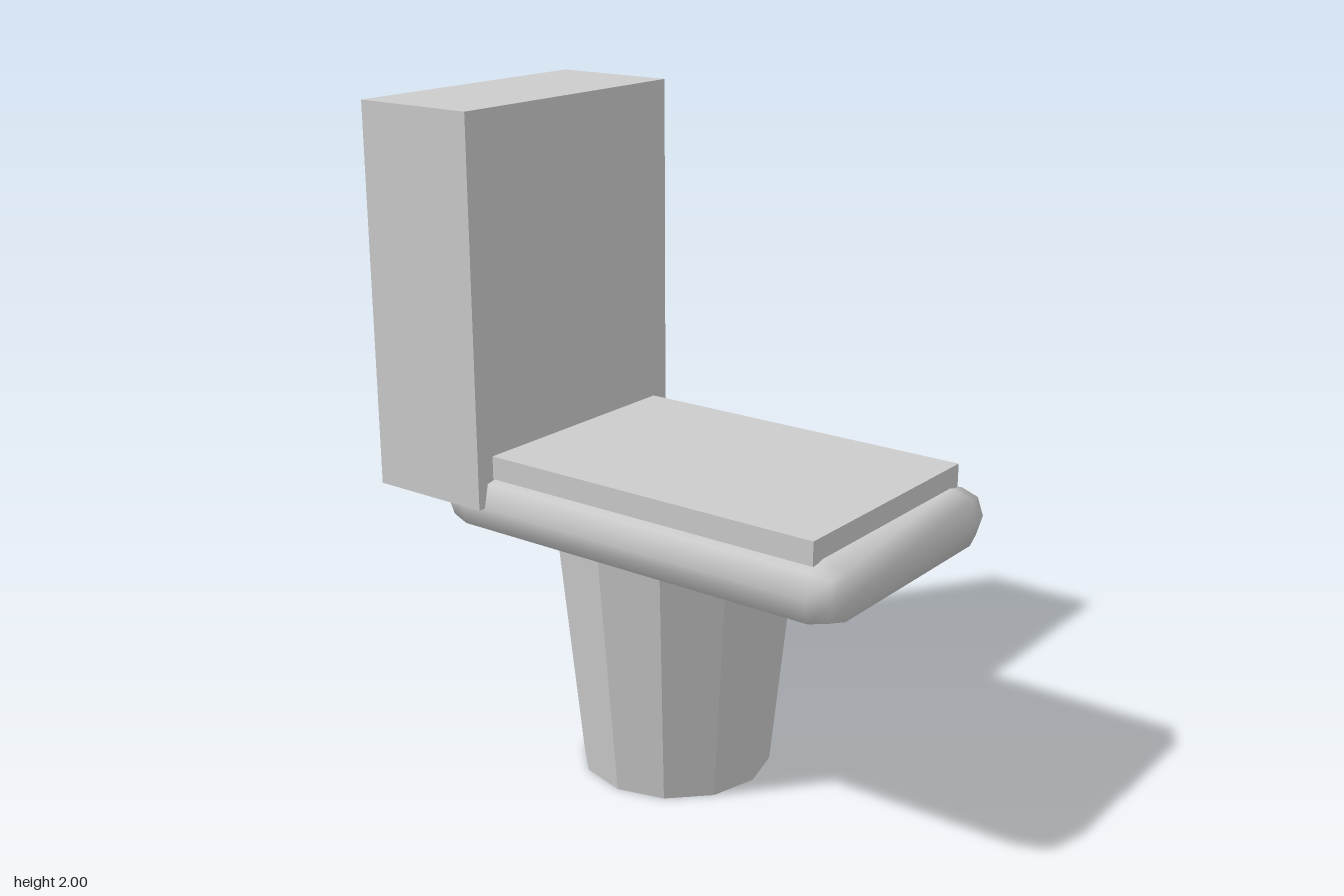
import * as THREE from 'three';
import { mergeVertices } from 'three/addons/utils/BufferGeometryUtils.js';

const solid = new THREE.MeshStandardMaterial({ color: 0xcccccc });
const faceted = new THREE.MeshStandardMaterial({ color: 0xcccccc, flatShading: true, side: THREE.DoubleSide });

function part(group, name, geometry, material, x, y, z) {
  const mesh = new THREE.Mesh(geometry, material);
  mesh.name = name;
  mesh.position.set(x, y, z);
  group.add(mesh);
  return mesh;
}

// Smooth cushion-like slab: a coarse box whose edges and corners are drawn in
function cushion(hx, hy, hz, bevel, inset) {
  const g = new THREE.BoxGeometry(2, 2, 2, 3, 2, 3);
  const p = g.attributes.position;
  const half = [hx, hy, hz];
  for (let i = 0; i < p.count; i++) {
    const v = [p.getX(i), p.getY(i), p.getZ(i)];
    const outer = v.map(c => Math.abs(c) > 0.99);
    const count = outer.filter(Boolean).length;
    const pull = [0, 0, inset, inset * 1.8][count];
    const q = v.map((c, k) => {
      if (Math.abs(c) < 0.01) return 0;
      return Math.sign(c) * (outer[k] ? half[k] - pull : half[k] - bevel);
    });
    p.setXYZ(i, ...q);
  }
  g.deleteAttribute('normal');
  g.deleteAttribute('uv');
  const merged = mergeVertices(g, 1e-4);
  merged.computeVertexNormals();
  return merged;
}

// Box without its underside
function bottomlessBox(w, h, d) {
  const g = new THREE.BoxGeometry(w, h, d);
  const index = Array.from(g.index.array);
  index.splice(18, 6);
  g.setIndex(index);
  g.clearGroups();
  return g;
}

export function createModel() {
  const model = new THREE.Group();
  model.name = 'toilet';

  // Twelve-sided tapered foot, open underneath
  part(model, 'pedestal', new THREE.CylinderGeometry(0.37, 0.29, 0.8, 12, 1, true), faceted, 0, 0.4, -0.02);

  // Rounded bowl rim
  part(model, 'bowlRim', cushion(0.42, 0.087, 0.69, 0.087, 0.016), solid, 0, 0.85, 0.11);

  // Flat lid
  part(model, 'lid', new THREE.BoxGeometry(0.76, 0.07, 1.11), solid, 0, 0.965, 0.155);

  // Upright tank behind the lid
  part(model, 'tank', bottomlessBox(0.885, 1.15, 0.4), faceted, 0, 1.425, -0.6);

  return model;
}
